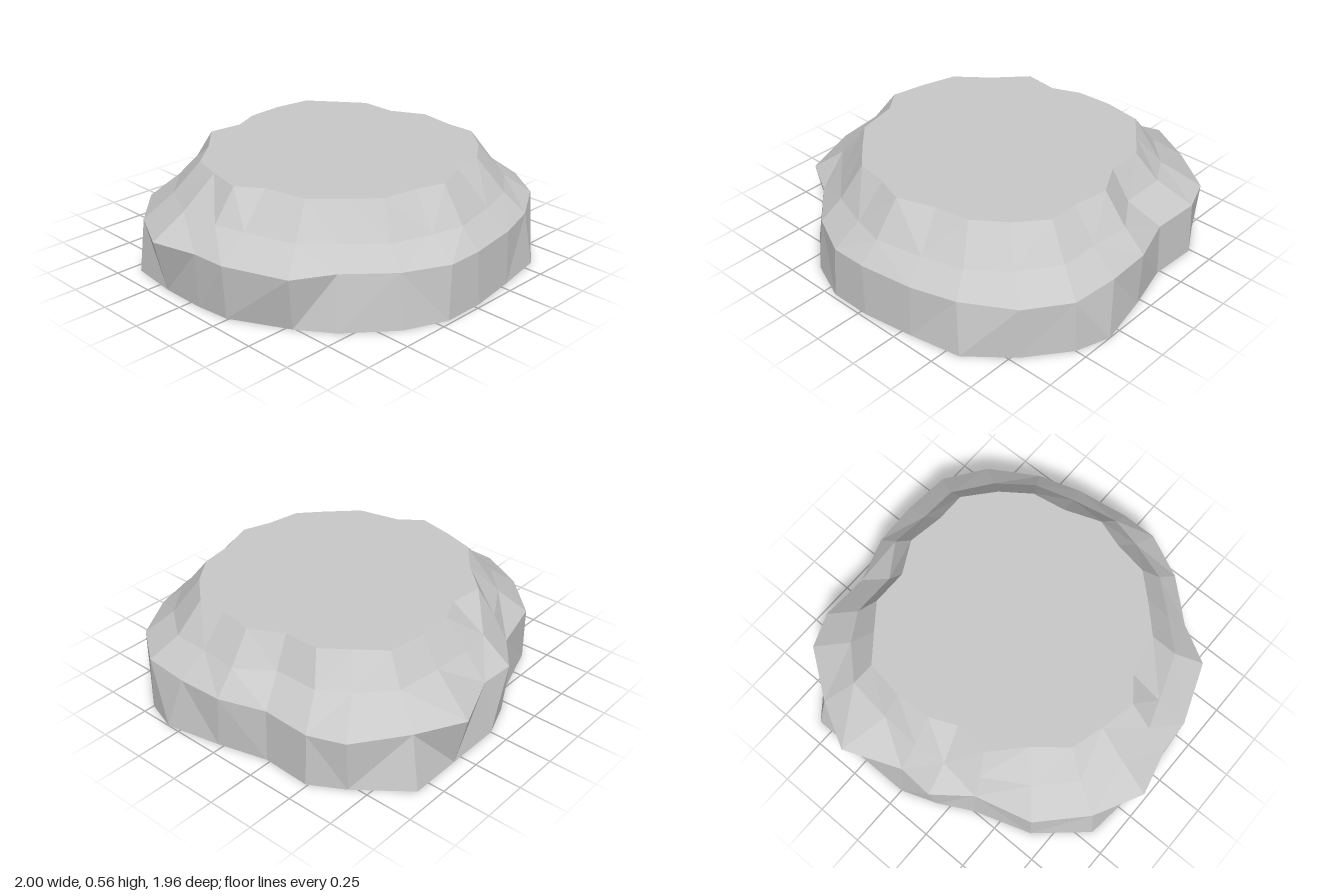
import * as THREE from 'three';

// Outlines as x, z pairs, all starting at +x and turning towards +z.
const BASE = [
  0.94, 0.03, 1.0, 0.32, 0.94, 0.5, 0.78, 0.71, 0.57, 0.89, 0.3, 0.94, 0.03, 0.98, -0.19, 0.98,
  -0.41, 0.89, -0.64, 0.7, -0.76, 0.53, -0.91, 0.24, -0.93, 0.06, -0.93, -0.18, -0.9, -0.44, -0.66, -0.65,
  -0.36, -0.75, -0.19, -0.84, 0.0, -0.91, 0.3, -0.91, 0.58, -0.91, 0.78, -0.66, 0.88, -0.49, 0.87, -0.23];
const RIM = [
  0.94, 0.01, 0.95, 0.25, 0.93, 0.5, 0.78, 0.71, 0.53, 0.86, 0.3, 0.93, 0.02, 0.97, -0.17, 0.97,
  -0.4, 0.86, -0.61, 0.67, -0.81, 0.56, -0.93, 0.24, -0.94, 0.06, -1.0, -0.18, -0.87, -0.43, -0.66, -0.65,
  -0.36, -0.73, -0.18, -0.87, 0.01, -0.86, 0.31, -0.98, 0.55, -0.85, 0.8, -0.67, 0.87, -0.49, 0.86, -0.23];
const SHOULDER = [
  0.83, 0.02, 0.81, 0.23, 0.8, 0.43, 0.66, 0.62, 0.48, 0.76, 0.27, 0.82, 0.02, 0.87, -0.15, 0.83,
  -0.36, 0.76, -0.53, 0.61, -0.68, 0.47, -0.77, 0.22, -0.82, 0.07, -0.83, -0.15, -0.73, -0.36, -0.56, -0.53,
  -0.34, -0.66, -0.16, -0.72, 0.01, -0.74, 0.22, -0.73, 0.46, -0.7, 0.62, -0.55, 0.71, -0.4, 0.71, -0.16];
const TOP = [
  0.71, 0.03, 0.68, 0.22, 0.68, 0.38, 0.55, 0.53, 0.4, 0.64, 0.22, 0.67, 0.03, 0.74, -0.12, 0.69,
  -0.3, 0.66, -0.42, 0.55, -0.56, 0.41, -0.61, 0.19, -0.7, 0.07, -0.66, -0.12, -0.61, -0.29, -0.45, -0.42,
  -0.3, -0.58, -0.12, -0.56, 0.02, -0.62, 0.21, -0.63, 0.41, -0.6, 0.52, -0.46, 0.62, -0.33, 0.62, -0.14];

// Ring of points; slope tilts it along z.
function ring(outline, y, slope = 0) {
  const points = [];
  for (let i = 0; i < outline.length; i += 2) {
    const x = outline[i], z = outline[i + 1];
    points.push(new THREE.Vector3(x, y + slope * z, z));
  }
  return points;
}

function facetedGeometry(triangles) {
  const geometry = new THREE.BufferGeometry().setFromPoints(triangles);
  geometry.computeVertexNormals();
  return geometry;
}

// Skin between successive rings, bottom to top, each quad split along its shorter diagonal.
function wall(rings) {
  const triangles = [];
  for (let r = 0; r < rings.length - 1; r++) {
    const low = rings[r], high = rings[r + 1];
    for (let i = 0; i < low.length; i++) {
      const j = (i + 1) % low.length;
      const a = low[i], b = low[j], c = high[j], d = high[i];
      if (a.distanceTo(c) < b.distanceTo(d)) triangles.push(a, d, c, a, c, b);
      else triangles.push(a, d, b, d, c, b);
    }
  }
  return facetedGeometry(triangles);
}

// Flat face filling a ring, facing up or down.
function cap(points, up) {
  const flat = points.map((p) => new THREE.Vector2(p.x, p.z));
  const triangles = [];
  for (const [i, j, k] of THREE.ShapeUtils.triangulateShape(flat, [])) {
    const a = points[i], b = points[j], c = points[k];
    const normalY = (b.z - a.z) * (c.x - a.x) - (b.x - a.x) * (c.z - a.z);
    if ((normalY > 0) === up) triangles.push(a, b, c);
    else triangles.push(a, c, b);
  }
  return facetedGeometry(triangles);
}

export function createModel() {
  const group = new THREE.Group();
  group.name = 'flatRock';
  const stone = new THREE.MeshStandardMaterial({ color: 0xc8c8c8, flatShading: true });
  stone.name = 'grey stone';

  const base = ring(BASE, 0), rim = ring(RIM, 0.28), top = ring(TOP, 0.555);
  const shoulder = ring(SHOULDER, 0.395, -0.02);

  const add = (name, geometry) => {
    const mesh = new THREE.Mesh(geometry, stone);
    mesh.name = name;
    group.add(mesh);
  };
  add('lowerWall', wall([base, rim]));
  add('slopedShoulder', wall([rim, shoulder, top]));
  add('flatTop', cap(top, true));
  add('underside', cap(base, false));
  return group;
}
